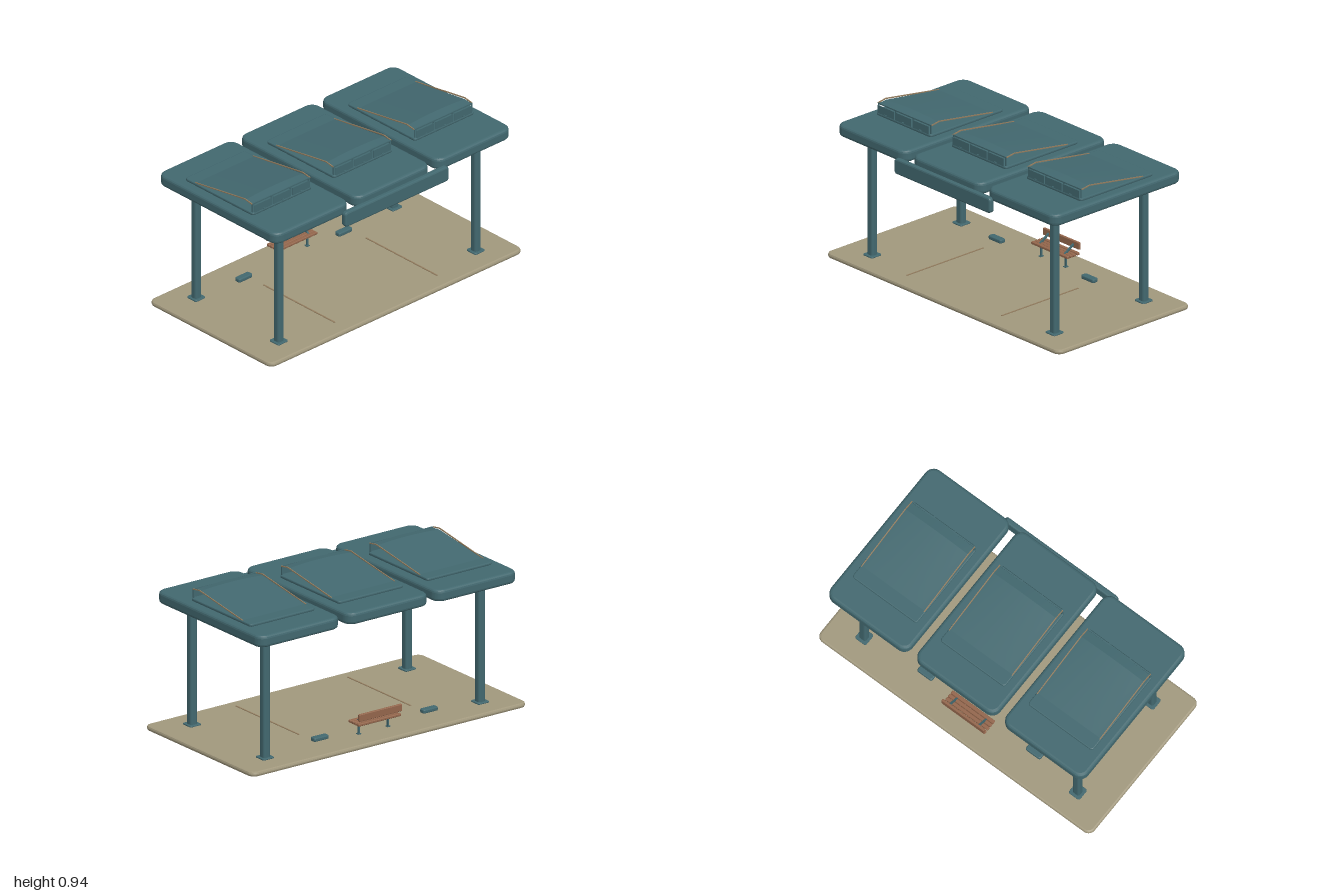
import * as THREE from 'three';

const mat = (name, color, side = THREE.FrontSide) => {
  const m = new THREE.MeshStandardMaterial({ color, side });
  m.name = name;
  return m;
};

export function createModel() {
  const model = new THREE.Group();
  model.name = 'carShelter';
  const teal = mat('teal paint', 0x42686f, THREE.DoubleSide);
  const sand = mat('sand concrete', 0xa1987d);
  const wood = mat('brown wood', 0x93664c);
  const trim = mat('bronze trim', 0x927c5e);

  const add = (parent, name, geometry, material, x = 0, y = 0, z = 0) => {
    const mesh = new THREE.Mesh(geometry, material);
    mesh.name = name;
    mesh.position.set(x, y, z);
    parent.add(mesh);
    return mesh;
  };
  const group = (name, x = 0) => {
    const g = new THREE.Group();
    g.name = name;
    g.position.x = x;
    model.add(g);
    return g;
  };

  // Flat slab with rounded plan corners and bevelled rims, standing on y = 0
  const slab = (w, h, d, radius, bevel, segments = 2) => {
    const a = w / 2 - bevel, c = d / 2 - bevel, r = Math.max(radius - bevel, 0.001);
    const s = new THREE.Shape();
    s.moveTo(-a + r, -c);
    s.lineTo(a - r, -c);
    s.absarc(a - r, -c + r, r, -Math.PI / 2, 0);
    s.absarc(a - r, c - r, r, 0, Math.PI / 2);
    s.absarc(-a + r, c - r, r, Math.PI / 2, Math.PI);
    s.absarc(-a + r, -c + r, r, Math.PI, Math.PI * 1.5);
    return new THREE.ExtrudeGeometry(s, {
      depth: h - 2 * bevel, bevelSize: bevel, bevelThickness: bevel,
      bevelSegments: segments, curveSegments: 5,
    }).translate(0, 0, bevel).rotateX(-Math.PI / 2);
  };

  // Square bar between two points of the same x
  const bar = (parent, name, material, x, [y0, z0], [y1, z1], t) => {
    const length = Math.hypot(y1 - y0, z1 - z0);
    const m = add(parent, name, new THREE.BoxGeometry(t, t, length), material,
      x, (y0 + y1) / 2, (z0 + z1) / 2);
    m.rotation.x = -Math.atan2(y1 - y0, z1 - z0);
    return m;
  };

  // Ground slab and bay lines
  add(model, 'groundSlab', slab(2, 0.03, 1.04, 0.045, 0.012), sand);
  for (const x of [-0.405, 0.405]) {
    add(model, 'bayLine', new THREE.BoxGeometry(0.009, 0.003, 0.605), trim, x, 0.041, 0.122);
  }

  // Columns with foot plates
  for (const x of [-0.78, 0.78]) {
    for (const z of [-0.35, 0.35]) {
      add(model, 'column', slab(0.05, 0.76, 0.047, 0.015, 0.004, 1), teal, x, 0.03, z);
      add(model, 'footPlate', slab(0.08, 0.009, 0.08, 0.012, 0.002, 1), teal, x, 0.029, z);
      add(model, 'columnAnchor', new THREE.BoxGeometry(0.03, 0.002, 0.03), teal, x, 0.0005, z);
    }
  }

  // Wheel stops
  for (const x of [-0.437, 0.355]) {
    add(model, 'wheelStop', slab(0.108, 0.024, 0.043, 0.013, 0.006), teal, x, 0.037, -0.314);
  }

  // One ruled hood panel, arched across its width; v = 0 front, 1 back
  const hoodPanel = ([y0, z0, drop0], [y1, z1, drop1]) => {
    const g = new THREE.PlaneGeometry(0.455, 1, 12, 1);
    const p = g.attributes.position;
    for (let i = 0; i < p.count; i++) {
      const x = p.getX(i), v = p.getY(i) + 0.5, k = (x / 0.2275) ** 2;
      const lerp = THREE.MathUtils.lerp;
      p.setXYZ(i, x, lerp(y0, y1, v) - k * lerp(drop0, drop1, v), lerp(z0, z1, v));
    }
    g.computeVertexNormals();
    return g;
  };

  // Three canopies, each with a sloped roof hood
  for (const x of [-0.642, 0, 0.642]) {
    const canopy = group('canopy', x);
    add(canopy, 'canopySlab', slab(0.592, 0.072, 1.01, 0.06, 0.018, 3), teal, 0, 0.779, -0.01);
    add(canopy, 'hoodCurb', slab(0.472, 0.018, 0.575, 0.018, 0.006), teal, 0, 0.85, -0.053);

    const front = [0.925, 0.222], ridge = [0.934, 0.16], back = [0.867, -0.26];
    add(canopy, 'hoodLip', hoodPanel([...front, 0.007], [...ridge, 0.01]), teal);
    add(canopy, 'hoodSlope', hoodPanel([...ridge, 0.01], [...back, 0]), teal);

    for (const sx of [-0.229, 0.229]) {
      bar(canopy, 'hoodEdgeTrim', trim, sx, [0.932, 0.16], [0.867, -0.26], 0.006);
      bar(canopy, 'hoodLipTrim', trim, sx, [0.922, 0.222], [0.932, 0.16], 0.006);
    }

    // Front window frame with three panes
    for (const px of [-0.224, -0.075, 0.075, 0.224]) {
      add(canopy, 'framePost', new THREE.BoxGeometry(0.008, 0.058, 0.008), teal, px, 0.896, 0.22);
    }
    add(canopy, 'frameRail', new THREE.BoxGeometry(0.456, 0.008, 0.008), teal, 0, 0.921, 0.22);
    for (const px of [-0.149, 0, 0.149]) {
      add(canopy, 'framePane', new THREE.BoxGeometry(0.138, 0.048, 0.004), teal, px, 0.891, 0.232);
      add(canopy, 'paneHandle', new THREE.BoxGeometry(0.014, 0.004, 0.006), teal, px, 0.872, 0.237);
    }
  }

  // Hanging front fascia
  const fascia = add(model, 'frontFascia', slab(0.82, 0.037, 0.096, 0.02, 0.01), teal, 0, 0.757, 0.484);
  fascia.rotation.x = Math.PI / 2;

  // Bench
  const bench = group('bench');
  for (const z of [-0.333, -0.358, -0.383, -0.412]) {
    add(bench, 'seatSlat', slab(0.31, 0.016, 0.022, 0.004, 0.003, 1), wood, 0, 0.102, z);
  }
  add(bench, 'backrest', slab(0.31, 0.044, 0.016, 0.004, 0.003, 1), wood, 0, 0.134, -0.423);
  for (const x of [-0.106, 0.106]) {
    bar(bench, 'benchLeg', teal, x, [0.03, -0.358], [0.112, -0.358], 0.01);
    bar(bench, 'backArm', teal, x, [0.11, -0.345], [0.158, -0.42], 0.011);
    add(bench, 'benchFoot', new THREE.BoxGeometry(0.02, 0.005, 0.025), teal, x, 0.032, -0.358);
  }

  return model;
}
